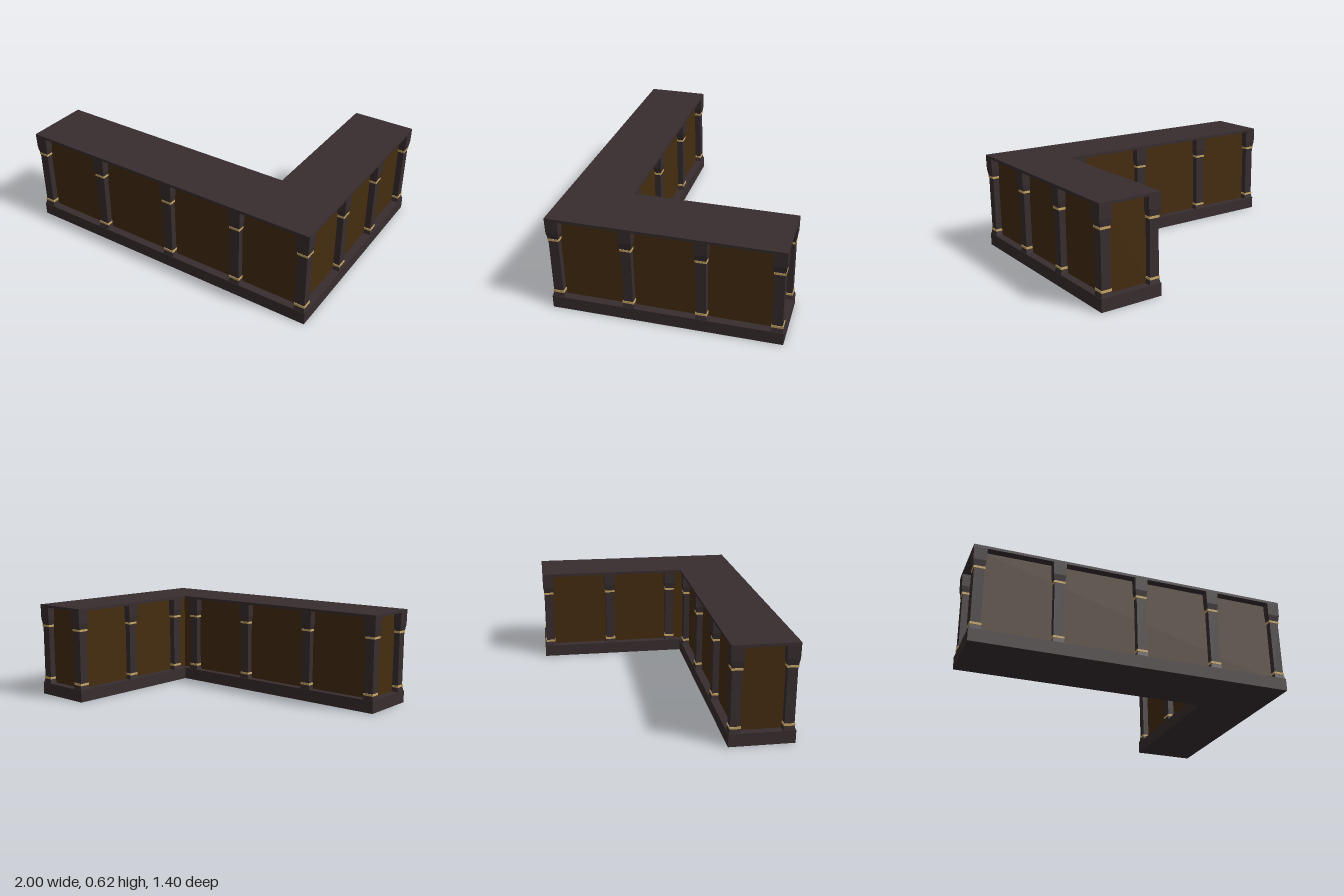
import * as THREE from 'three';

export function createModel() {
  const group = new THREE.Group();
  group.name = 'cornerCounter';

  const material = (name, color) => {
    const m = new THREE.MeshStandardMaterial({ color });
    m.name = name;
    return m;
  };
  const darkWood = material('darkWood', 0x382d2f);
  const brownPanel = material('brownPanel', 0x452c0f);
  const brass = material('brass', 0xc8a766);

  const add = (parent, name, geometry, mat) => {
    const mesh = new THREE.Mesh(geometry, mat);
    mesh.name = name;
    parent.add(mesh);
  };

  // L-shaped slab between two heights, pulled in on every side by inset
  const slab = (y0, y1, inset) => {
    const i = inset;
    const shape = new THREE.Shape([
      [-1 + i, 0.7 - i], [1 - i, 0.7 - i], [1 - i, -0.7 + i],
      [0.6 + i, -0.7 + i], [0.6 + i, 0.3 + i], [-1 + i, 0.3 + i],
    ].map(([x, z]) => new THREE.Vector2(x, -z)));
    return new THREE.ExtrudeGeometry(shape, { depth: y1 - y0, bevelEnabled: false })
      .rotateX(-Math.PI / 2)
      .translate(0, y0, 0);
  };
  add(group, 'plinth', slab(0, 0.08, 0), darkWood);
  add(group, 'panelBody', slab(0.08, 0.605, 0.05), brownPanel);
  add(group, 'counterTop', slab(0.603, 0.62, 0), darkWood);

  // Square section tapering from half-width h0 at y0 to h1 at y1
  const square = (y0, y1, h0, h1 = h0) => {
    const g = new THREE.CylinderGeometry(h1 * Math.SQRT2, h0 * Math.SQRT2, y1 - y0, 4)
      .rotateY(Math.PI / 4)
      .translate(0, (y0 + y1) / 2, 0)
      .toNonIndexed();
    g.computeVertexNormals();
    return g;
  };
  const foot = square(0.08, 0.113, 0.037, 0.03);
  const shaft = square(0.11, 0.49, 0.03);
  const flare = square(0.475, 0.523, 0.031, 0.039);
  const capital = square(0.523, 0.605, 0.039, 0.04);
  const bands = [0.115, 0.476].map((y) => square(y - 0.007, y + 0.007, 0.034));

  const addPost = (x, z) => {
    const post = new THREE.Group();
    post.name = 'post';
    post.position.set(x, 0, z);
    add(post, 'postFoot', foot, darkWood);
    add(post, 'postShaft', shaft, darkWood);
    add(post, 'postFlare', flare, darkWood);
    add(post, 'postCapital', capital, darkWood);
    bands.forEach((band) => add(post, 'brassBand', band, brass));
    group.add(post);
  };

  // Posts along both faces of the long arm
  for (const x of [-0.96, -0.482, 0.037, 0.52]) {
    addPost(x, 0.66);
    addPost(x, 0.34);
  }
  // Posts along both faces of the short arm, plus the outer corner
  for (const z of [-0.66, -0.218, 0.222]) {
    addPost(0.96, z);
    addPost(0.64, z);
  }
  addPost(0.96, 0.66);

  return group;
}
